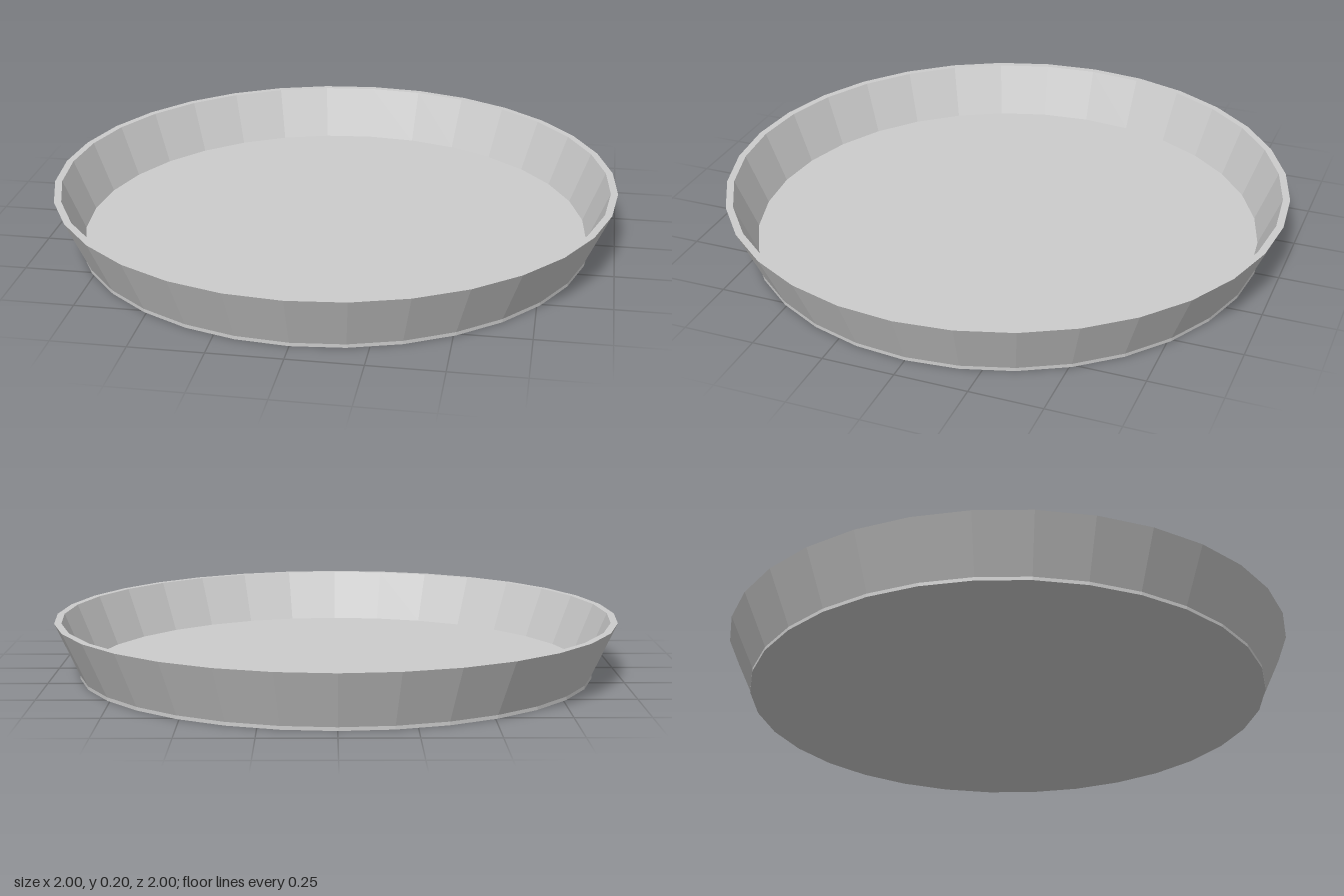
import * as THREE from 'three';

const SIDES = 32;

export function createModel() {
  const group = new THREE.Group();
  group.name = 'roundTray';
  const material = new THREE.MeshStandardMaterial({ color: 0xcccccc, flatShading: true });

  // Closed sections as [radius, height], running up the outside and back down the inside
  const parts = {
    base: [[0, 0], [0.915, 0], [0.915, 0.012]],
    flaredWall: [[0.915, 0.012], [1, 0.2], [0.975, 0.2], [0.9, 0.018]],
    floor: [[0.9, 0.018], [0, 0.018]],
  };

  for (const [name, section] of Object.entries(parts)) {
    const points = section.map(([r, y]) => new THREE.Vector2(r, y));
    const mesh = new THREE.Mesh(new THREE.LatheGeometry(points, SIDES), material);
    mesh.name = name;
    group.add(mesh);
  }
  return group;
}
